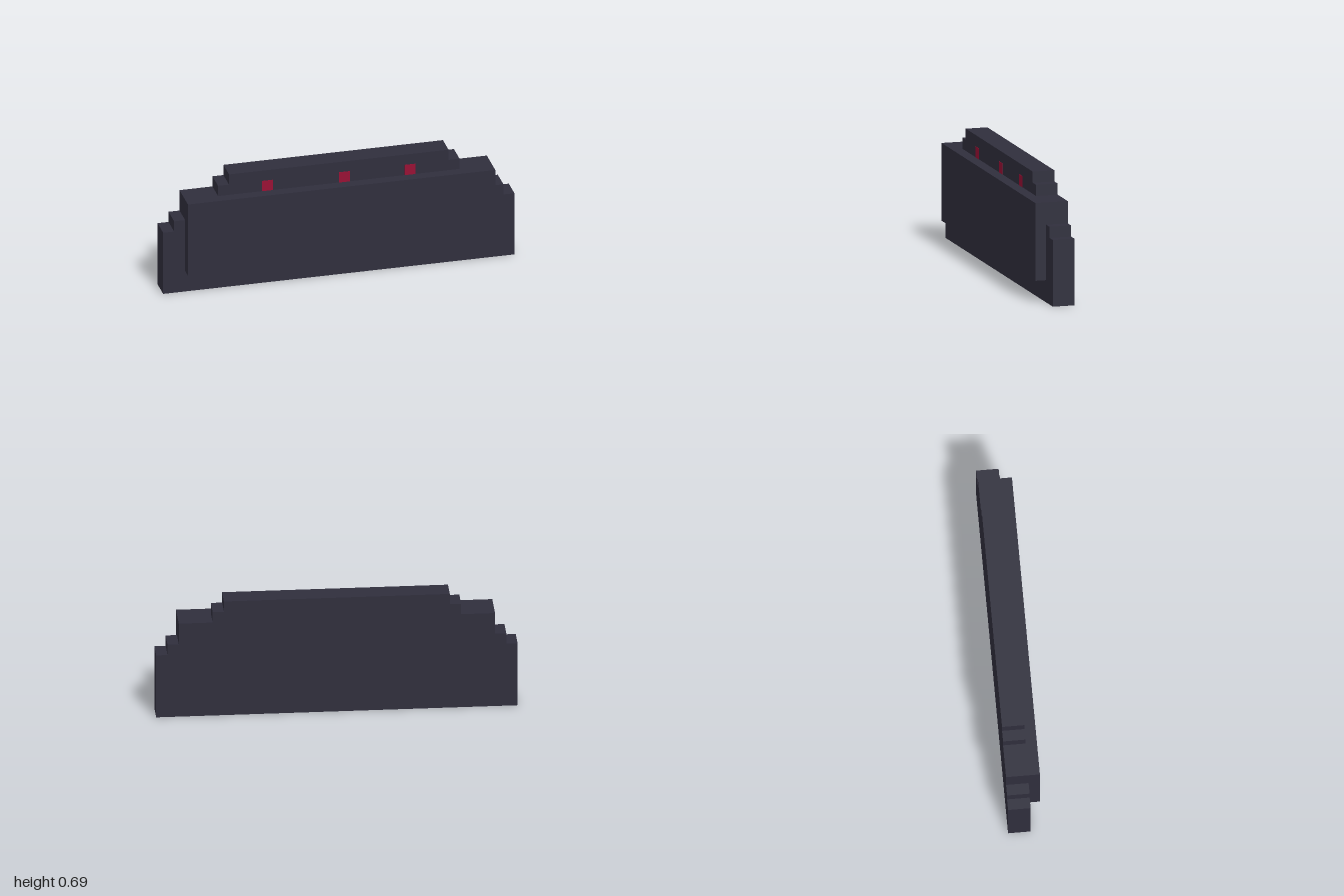
import * as THREE from 'three';

const U = 1 / 16; // block unit

export function createModel() {
  const group = new THREE.Group();
  const slate = new THREE.MeshStandardMaterial({ color: 0x2f2e3c });
  slate.name = 'darkSlate';
  const crimson = new THREE.MeshStandardMaterial({ color: 0x980f34 });
  crimson.name = 'crimson';

  const add = (name, geometry, material, x, y, z) => {
    const mesh = new THREE.Mesh(geometry, material);
    mesh.name = name;
    mesh.position.set(x, y, z);
    group.add(mesh);
  };

  // Stepped back wall: [half width, top height] of each step, bottom to top
  const steps = [[16, 6], [15, 7], [14, 9], [11, 10], [10, 11]];
  const right = [];
  let y = 0;
  for (const [w, top] of steps) {
    right.push([w, y], [w, top]);
    y = top;
  }
  const left = right.map(([px, py]) => [-px, py]).reverse();
  const outline = new THREE.Shape(
    [...right, ...left].map(([px, py]) => new THREE.Vector2(px * U, py * U))
  );
  const wall = new THREE.ExtrudeGeometry(outline, { depth: 2 * U, bevelEnabled: false });
  add('steppedWall', wall, slate, 0, 0, -1.5 * U);

  // Raised front panel
  add('frontPanel', new THREE.BoxGeometry(28 * U, 7 * U, U), slate, 0, 5.5 * U, U);

  // Small square lights above the panel
  const light = new THREE.BoxGeometry(U, U, 0.004);
  for (const x of [-6.5, 0.5, 6.5]) add('light', light, crimson, x * U, 9.5 * U, 0.5 * U);

  return group;
}
